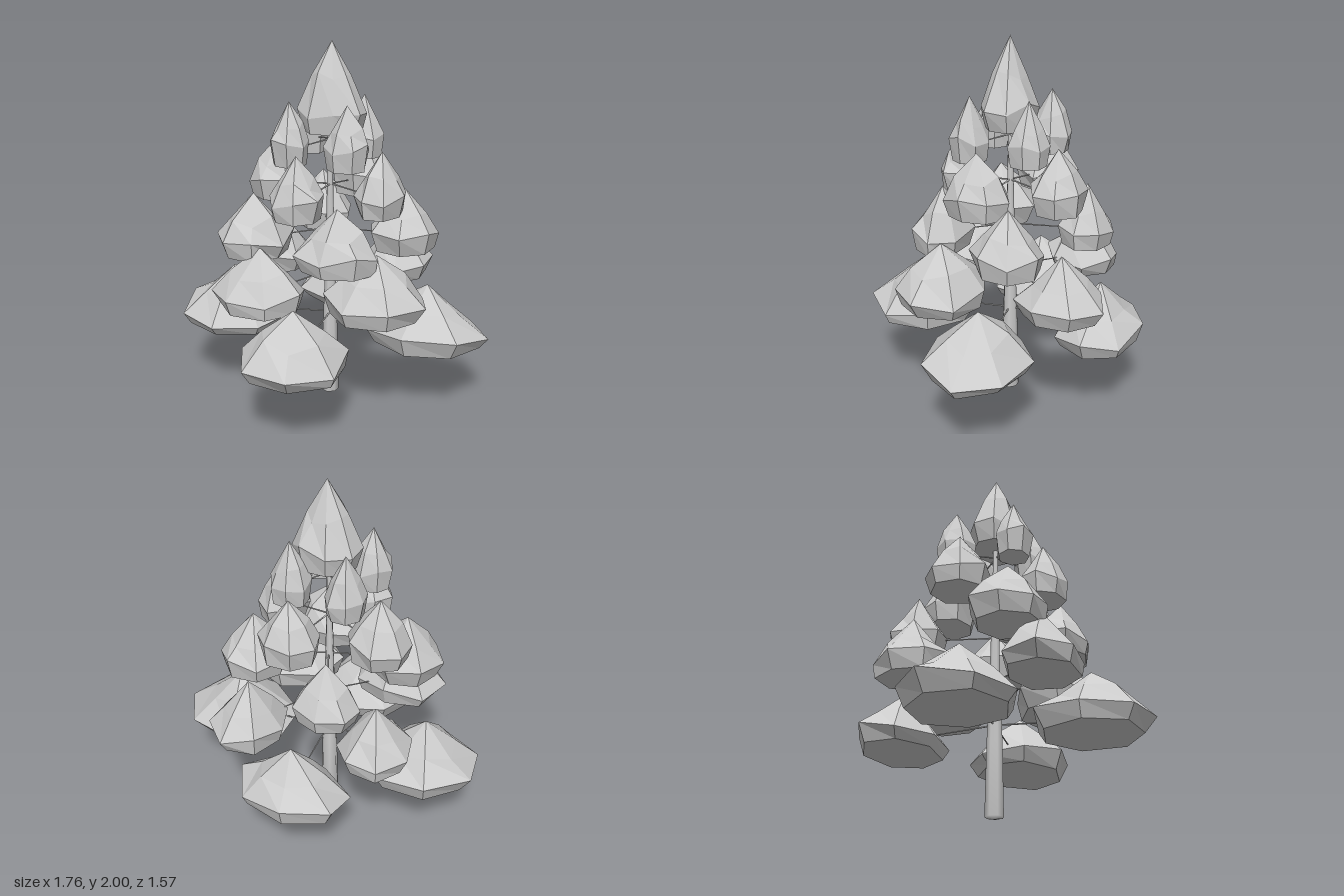
import * as THREE from 'three';

const TRUNK_Z = -0.05;

// Repeatable noise between -1 and 1
function noise(a, b, c) {
  const s = Math.sin(a * 12.99 + b * 78.23 + c * 37.72) * 43758.55;
  return 2 * (s - Math.floor(s)) - 1;
}

// Faceted foliage clump: a low-sided lathe with an uneven rim and shoulder
function clump({ seed, sides, turn, rx, rz, height, rim, shoulder }, material) {
  const profile = [[0, 0], [0.85, 0.01], [1, rim], [shoulder, 0.6], [0, 1]]
    .map(([r, y]) => new THREE.Vector2(r, y));
  const rings = profile.length;
  const geometry = new THREE.LatheGeometry(profile, sides, turn);
  const p = geometry.attributes.position;
  for (let i = 0; i < p.count; i++) {
    const ring = i % rings;
    const side = Math.floor(i / rings) % sides;
    const pole = ring === 0 || ring === rings - 1;
    const swell = pole ? 1 : 1.03 + 0.06 * noise(seed, side, ring);
    const lift = pole || ring === 1 ? 0 : 0.09 * noise(seed + 9, side, ring);
    p.setXYZ(i, p.getX(i) * rx * swell, (p.getY(i) + lift) * height, p.getZ(i) * rz * swell);
  }
  const faceted = geometry.toNonIndexed();
  faceted.computeVertexNormals();
  return new THREE.Mesh(faceted, material);
}

// Thin tapered branch between two points
function branch(from, to, material) {
  const dir = to.clone().sub(from);
  const mesh = new THREE.Mesh(
    new THREE.CylinderGeometry(0.002, 0.005, dir.length(), 5), material);
  mesh.position.copy(from).addScaledVector(dir, 0.5);
  mesh.quaternion.setFromUnitVectors(new THREE.Vector3(0, 1, 0), dir.normalize());
  return mesh;
}

export function createModel() {
  const model = new THREE.Group();
  model.name = 'coniferTree';
  const bark = new THREE.MeshStandardMaterial({ color: 0xcccccc });
  const leaf = new THREE.MeshStandardMaterial({ color: 0xcccccc, flatShading: true });

  // Trunk, tapering to the crown
  const trunkProfile = [[0, 0], [0.05, 0.01], [0.042, 0.4],
    [0.028, 0.8], [0.018, 1.2], [0.012, 1.6], [0, 1.65]];
  const trunk = new THREE.Mesh(new THREE.LatheGeometry(
    trunkProfile.map(([r, y]) => new THREE.Vector2(r, y)), 7), bark);
  trunk.name = 'trunk';
  trunk.position.set(-0.005, 0, TRUNK_Z);
  model.add(trunk);

  // Four clumps per tier, from the bottom up: x, z, x radius, z radius, turn
  const tiers = [
    [[-0.57, -0.04, 0.3, 0.3, -0.08], [0.54, -0.08, 0.32, 0.26, 0.66],
      [-0.03, 0.475, 0.29, 0.3, 0.22], [-0.03, -0.555, 0.31, 0.225, 0.6]],
    [[-0.28, 0.29, 0.25, 0.21, 0.4], [0.33, 0.21, 0.27, 0.24, 0.47],
      [0.28, -0.43, 0.2, 0.23, 0.23], [-0.41, -0.35, 0.19, 0.2, 0]],
    [[-0.37, 0.14, 0.2, 0.2, 0.3], [0.14, 0.28, 0.22, 0.16, 0.7],
      [0.38, -0.18, 0.19, 0.19, 0.1], [-0.17, -0.43, 0.17, 0.15, 0.5]],
    [[-0.33, -0.14, 0.17, 0.17, 0.6], [-0.09, 0.25, 0.145, 0.13, 0.2],
      [0.3, 0.02, 0.135, 0.17, 0.4], [0.08, -0.34, 0.165, 0.145, 0]],
    [[-0.175, 0.11, 0.105, 0.1, 0.2], [0.14, 0.12, 0.12, 0.1, 0.5],
      [0.14, -0.2, 0.11, 0.105, 0.7], [-0.175, -0.22, 0.105, 0.11, 0]],
  ];
  tiers.forEach((tier, t) => {
    const group = new THREE.Group();
    group.name = `foliageTier${t + 1}`;
    const base = 0.375 + 0.248 * t;
    tier.forEach(([x, z, rx, rz, turn], k) => {
      // Higher clumps are rounder, with a raised rim
      const foliage = clump({
        seed: t * 4 + k + 1, sides: 7, turn, rx, rz, height: 0.337,
        rim: 0.24 + 0.03 * t, shoulder: 0.58 + 0.025 * t,
      }, leaf);
      foliage.name = 'foliageClump';
      foliage.position.set(x, base, z);
      // Branch holding the clump
      const limb = branch(new THREE.Vector3(0, base + 0.12, TRUNK_Z),
        new THREE.Vector3(x, base + 0.08, z), bark);
      limb.name = 'branch';
      group.add(foliage, limb);
    });
    model.add(group);
  });

  // Crown at the tip
  const crown = clump({
    seed: 31, sides: 8, turn: 0.3, rx: 0.185, rz: 0.15, height: 0.475,
    rim: 0.27, shoulder: 0.55,
  }, leaf);
  crown.name = 'crown';
  crown.position.set(0.005, 1.525, TRUNK_Z);
  model.add(crown);
  return model;
}
